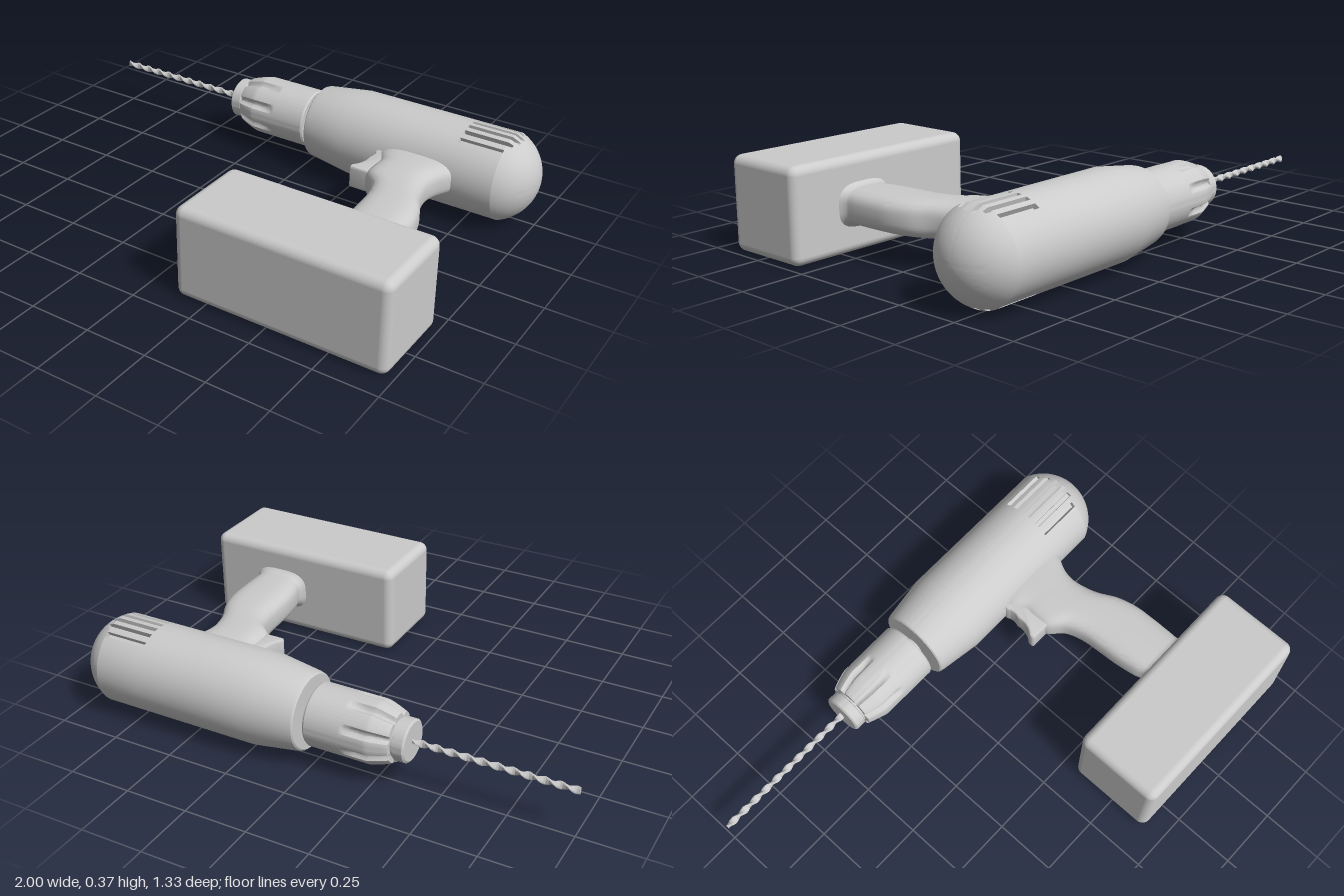
import * as THREE from 'three';
import { toCreasedNormals } from 'three/addons/utils/BufferGeometryUtils.js';
import { RoundedBoxGeometry } from 'three/addons/geometries/RoundedBoxGeometry.js';

const AXIS_Y = 0.1845, AXIS_Z = -0.489;
const material = new THREE.MeshStandardMaterial({ color: 0xcccccc });

function part(name, geometry, parent) {
  const mesh = new THREE.Mesh(geometry, material);
  mesh.name = name;
  parent.add(mesh);
  return mesh;
}

// Skin over closed rings of [x, y, z] points
function skin(rings, crease = 0.5) {
  const n = rings[0].length, index = [];
  for (let i = 0; i < rings.length - 1; i++) {
    for (let j = 0; j < n; j++) {
      const k = (j + 1) % n, a = i * n + j, b = i * n + k, c = a + n, d = b + n;
      index.push(a, b, c, b, d, c);
    }
  }
  const g = new THREE.BufferGeometry();
  g.setAttribute('position', new THREE.Float32BufferAttribute(rings.flat(2), 3));
  g.setIndex(index);
  return toCreasedNormals(g, crease);
}

// Turned form along x whose radius may be carved by a rule
function turned(stations, angles, carve) {
  return skin(stations.map(([x, r]) => angles.map((t) => {
    const q = carve(x, r, t);
    return [x, q * Math.cos(t), q * Math.sin(t)];
  })));
}

const steps = (n, a, b) => Array.from({ length: n + 1 }, (_, i) => a + (b - a) * i / n);
const circle = (n) => steps(n, 0, Math.PI * 2).slice(0, n);

// Motor housing with recessed vents on both flanks
function housingGeometry() {
  const R = 0.177, domeX = 0.8095, domeR = 0.1905, eps = 0.0004;
  const slots = [];
  [[0.096, 0.88], [0.0576, 0.9], [0.0192, 0.915]].forEach(([off, end]) => {
    for (const s of [-1, 1]) {
      const t = s * Math.asin(off / R), half = 0.009 / R / Math.cos(t);
      slots.push({ t, half, end }, { t: Math.PI - t, half, end });
    }
  });
  const wrap = (t) => Math.atan2(Math.sin(t), Math.cos(t));
  const angles = circle(72).map(wrap);
  slots.forEach(({ t, half }) => {
    for (const s of [-1, 1]) angles.push(wrap(t + s * half), wrap(t + s * (half + 0.003)));
  });
  angles.sort((a, b) => a - b);

  const xs = [0.22, 0.45, 0.7 - eps, 0.7 + eps];
  [0.88, 0.9, 0.915].forEach((e) => xs.push(e - eps, e + eps));
  steps(16, Math.asin(R / domeR), 0).forEach((a) => xs.push(domeX + domeR * Math.cos(a)));
  xs.sort((a, b) => a - b);
  const stations = [[0.03, 0], [0.03, 0.143], [0.035, 0.149], [0.05, 0.153]];
  xs.forEach((x) => stations.push([x, Math.min(R, Math.sqrt(Math.max(0, domeR ** 2 - Math.max(0, x - domeX) ** 2)))]));

  return turned(stations, angles, (x, r, t) => {
    const inside = slots.some((s) => x > 0.7 && x < s.end && Math.abs(wrap(t - s.t)) < s.half + 0.001);
    return inside ? Math.min(r, 0.157) : r;
  });
}

// Chuck sleeve with eight narrow gripping flutes
function chuckGeometry() {
  const stations = [[-0.325, 0], [-0.325, 0.095]];
  steps(24, -0.318, -0.13).forEach((x) => {
    stations.push([x, x < -0.245 ? 0.122 - 0.023 * ((-0.245 - x) / 0.073) ** 1.2 : 0.122]);
  });
  stations.push([-0.002, 0.122], [0.005, 0.118], [0.005, 0]);
  const pitch = Math.PI / 4;
  return turned(stations, circle(160), (x, r, t) => {
    const d = Math.abs((t % pitch) - pitch / 2) / 0.16;
    const ramp = Math.sqrt(THREE.MathUtils.clamp((-0.15 - x) / 0.06, 0, 1));
    return r - Math.min(r, 0.016 * ramp * Math.max(0, 1 - d * d));
  });
}

// Handle: rounded sections between a front edge and a back edge
function handleGeometry() {
  const edges = [ // front x, back x, z
    [0.4, 0.73, -0.34], [0.4, 0.715, -0.31], [0.43, 0.685, -0.255], [0.43, 0.675, -0.2],
    [0.436, 0.683, -0.142], [0.49, 0.7, -0.085], [0.515, 0.738, -0.01], [0.522, 0.758, 0.07],
    [0.527, 0.762, 0.15], [0.54, 0.762, 0.24], [0.55, 0.762, 0.28], [0.53, 0.778, 0.31],
  ].map((p) => new THREE.Vector3(...p));
  const power = (v) => Math.sign(v) * Math.abs(v) ** 0.65;
  const rings = new THREE.CatmullRomCurve3(edges).getPoints(60).map((p) => {
    const h = 0.0725 + 0.018 * Math.max(0, (p.z - 0.275) / 0.035) ** 2;
    return circle(48).map((t) => [
      (p.x + p.y) / 2 - power(Math.sin(t)) * (p.y - p.x) / 2,
      AXIS_Y + power(Math.cos(t)) * h,
      p.z,
    ]);
  });
  const cap = (ring) => ring.map(() => [0.6, AXIS_Y, ring[0][2]]);
  // Rings run anticlockwise about +z, so the skin faces outwards
  return skin([cap(rings[0]), ...rings, cap(rings[rings.length - 1])], 0.9);
}

// Finger trigger: side outline drawn in x and -z
function triggerGeometry() {
  const s = new THREE.Shape();
  s.moveTo(0.48, 0.33);
  s.lineTo(0.388, 0.33);
  s.lineTo(0.388, 0.305);
  s.quadraticCurveTo(0.402, 0.285, 0.39, 0.25);
  s.quadraticCurveTo(0.398, 0.2, 0.364, 0.165);
  s.quadraticCurveTo(0.36, 0.145, 0.37, 0.142);
  s.lineTo(0.48, 0.142);
  const g = new THREE.ExtrudeGeometry(s, {
    depth: 0.076, bevelThickness: 0.008, bevelSize: 0.006, bevelOffset: -0.006, bevelSegments: 3, curveSegments: 8,
  });
  g.rotateX(-Math.PI / 2);
  g.translate(0, AXIS_Y - 0.038, 0);
  return toCreasedNormals(g, 0.6);
}

// Drill bit: flat bar twisted along its length
function bitGeometry() {
  const rings = steps(200, -1, -0.37).map((x) => {
    const a = (x + 1) * Math.PI * 2 / 0.115;
    return circle(12).map((t) => {
      const u = 0.0145 * Math.cos(t), v = 0.0075 * Math.sin(t);
      return [x, u * Math.cos(a) - v * Math.sin(a), u * Math.sin(a) + v * Math.cos(a)];
    });
  });
  rings.unshift(rings[0].map(() => [-1, 0, 0]));
  return skin(rings, 0.9);
}

export function createModel() {
  const model = new THREE.Group();
  model.name = 'cordlessDrill';

  // Parts turned about the drive axis
  const drive = new THREE.Group();
  drive.name = 'driveLine';
  drive.position.set(0, AXIS_Y, AXIS_Z);
  model.add(drive);
  part('motorHousing', housingGeometry(), drive);
  part('chuckSleeve', chuckGeometry(), drive);
  const plain = (x, r) => r;
  part('chuckNose', turned([
    [-0.38, 0], [-0.38, 0.074], [-0.374, 0.082], [-0.335, 0.082], [-0.332, 0.075], [-0.32, 0.075],
  ], circle(64), plain), drive);
  part('spindle', turned([[-0.01, 0.04], [0.04, 0.04]], circle(40), plain), drive);
  part('drillBit', bitGeometry(), drive);

  // Grip and power pack
  part('handle', handleGeometry(), model);
  part('trigger', triggerGeometry(), model);
  part('batteryPack', new RoundedBoxGeometry(0.855, 0.369, 0.362, 5, 0.035), model)
    .position.set(0.551, AXIS_Y, 0.485);
  return model;
}
